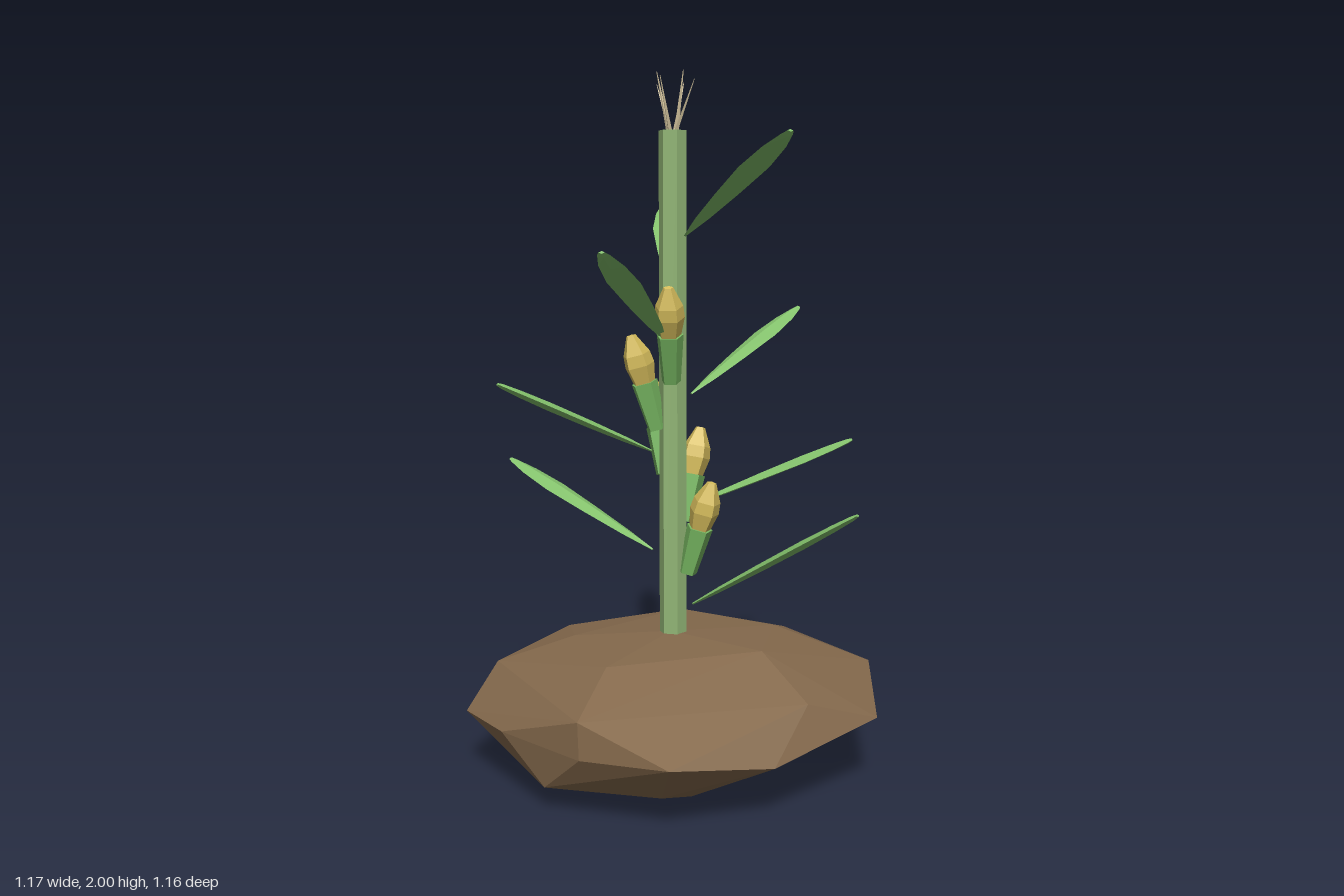
import * as THREE from 'three';
import { ConvexGeometry } from 'three/addons/geometries/ConvexGeometry.js';

const V = (x, y, z) => new THREE.Vector3(x, y, z);

function material(name, color) {
  const m = new THREE.MeshStandardMaterial({ color, flatShading: true });
  m.name = name;
  return m;
}

// Cylinder whose rings are resized to fit a profile of [t, radiusX, radiusZ], standing from y = 0 to length
function loft(length, sides, profile) {
  const n = profile.length - 1;
  const g = new THREE.CylinderGeometry(1, 1, 1, sides, n);
  const p = g.attributes.position;
  for (let i = 0; i < p.count; i++) {
    const [t, rx, rz] = profile[Math.round((p.getY(i) + 0.5) * n)];
    p.setXYZ(i, p.getX(i) * rx, t * length, p.getZ(i) * rz);
  }
  g.computeVertexNormals();
  return g;
}

// Places a mesh at a base point with its y axis aimed at the tip and its x axis level
function aim(mesh, base, tip) {
  const y = tip.clone().sub(base).normalize();
  const x = y.clone().cross(V(0, 1, 0)).normalize();
  const z = x.clone().cross(y);
  mesh.quaternion.setFromRotationMatrix(new THREE.Matrix4().makeBasis(x, y, z));
  mesh.position.copy(base);
  return mesh;
}

export function createModel() {
  const root = new THREE.Group();
  root.name = 'cornPlant';
  const soil = material('soilBrown', 0x84694c);
  const stem = material('stemGreen', 0x92b676);
  const leaf = material('leafGreen', 0x84c26c);
  const husk = material('huskGreen', 0x78b862);
  const kernel = material('kernelYellow', 0xd6bd5c);
  const straw = material('strawBeige', 0xd6c6a0);
  const centreZ = 0.04;

  const add = (name, geometry, mat, parent = root) => {
    const mesh = new THREE.Mesh(geometry, mat);
    mesh.name = name;
    parent.add(mesh);
    return mesh;
  };

  // Faceted mound of earth: rim, upper shoulder, crown and underside corners
  const mound = [
    [0, 0.19, -0.585], [0.35, 0.25, -0.465], [0.585, 0.21, -0.16], [0.52, 0.16, 0.22],
    [0.39, 0.2, 0.49], [0.15, 0.19, 0.575], [-0.16, 0.19, 0.57], [-0.38, 0.18, 0.51],
    [-0.51, 0.17, 0.23], [-0.59, 0.18, -0.15], [-0.3, 0.22, -0.475],
    [0.5, 0.285, 0.05], [0.14, 0.29, 0.57], [-0.39, 0.295, 0.38], [-0.48, 0.3, 0], [0.02, 0.29, -0.47],
    [0, 0.39, 0.05], [0.3, 0.38, 0], [0.15, 0.37, -0.25], [-0.2, 0.36, -0.22],
    [-0.25, 0.36, 0.2], [0.05, 0.37, 0.37],
    [-0.33, 0.02, 0], [-0.1, 0.005, 0.36], [0.23, 0, 0.22], [0.2, 0, -0.26], [-0.14, 0, -0.26],
    [0.4, 0.08, 0], [-0.53, 0.1, 0.02], [0, 0.07, 0.56], [-0.3, 0.07, 0.4], [0.3, 0.08, 0.42],
  ].map(c => V(...c));
  add('soilMound', new ConvexGeometry(mound), soil);

  // Six-sided stalk
  add('stalk', new THREE.CylinderGeometry(0.04, 0.04, 1.53, 6), stem).position.set(0, 1.065, centreZ);

  // Leaves: base height, then tip position
  const leafProfile = [
    [0, 0.004, 0.003], [0.18, 0.023, 0.008], [0.42, 0.037, 0.011],
    [0.68, 0.047, 0.012], [0.86, 0.036, 0.01], [0.97, 0.018, 0.007], [1, 0.009, 0.004],
  ];
  [
    [0.48, 0.575, 0.8, -0.06],
    [0.625, -0.555, 0.855, 0.17],
    [0.77, 0.36, 0.95, -0.34],
    [0.93, -0.2, 1.145, 0.525],
    [1.085, 0.085, 1.32, -0.44],
    [1.25, 0.21, 1.505, 0.535],
    [1.39, -0.33, 1.635, -0.3],
    [1.54, 0.54, 1.8, 0.21],
  ].forEach(([baseY, x, y, z], i) => {
    const out = V(x, 0, z - centreZ).setLength(0.068);
    const base = V(out.x, baseY, centreZ + out.z);
    const tip = V(x, y, z);
    aim(add('leaf' + (i + 1), loft(base.distanceTo(tip), 4, leafProfile), leaf), base, tip);
  });

  // Five ears spiralling up the stalk, each a husk around a pointed cob
  const cobProfile = [[0.3, 0.02, 0.02], [0.68, 0.045, 0.045], [0.8, 0.041, 0.041], [1, 0.014, 0.014]];
  for (let i = 0; i < 5; i++) {
    const a = THREE.MathUtils.degToRad(-18 - 72 * i);
    const at = (r, y) => V(Math.cos(a) * r, y + 0.14 * i, centreZ + Math.sin(a) * r);
    const ear = new THREE.Group();
    ear.name = 'ear' + (i + 1);
    root.add(ear);
    add('husk', loft(0.14, 5, [[0, 0.028, 0.028], [1, 0.04, 0.04]]), husk, ear);
    add('cob', loft(0.28, 5, cobProfile), kernel, ear);
    aim(ear, at(0.046, 0.57), at(0.122, 0.84));
  }

  // Tassel of thin spikes: direction in degrees, spread and tip height
  [[5, 0.088, 1.965], [80, 0.065, 1.975], [150, 0.045, 1.99], [190, 0.072, 1.96], [255, 0.07, 1.965], [320, 0.03, 1.995]]
    .forEach(([deg, r, y]) => {
      const a = THREE.MathUtils.degToRad(deg);
      const at = (d, h) => V(Math.cos(a) * d, h, centreZ + Math.sin(a) * d);
      const base = at(0.01, 1.82), tip = at(r, y);
      aim(add('tasselSpike', loft(base.distanceTo(tip), 4, [[0, 0.007, 0.007], [1, 0.001, 0.001]]), straw), base, tip);
    });

  return root;
}
